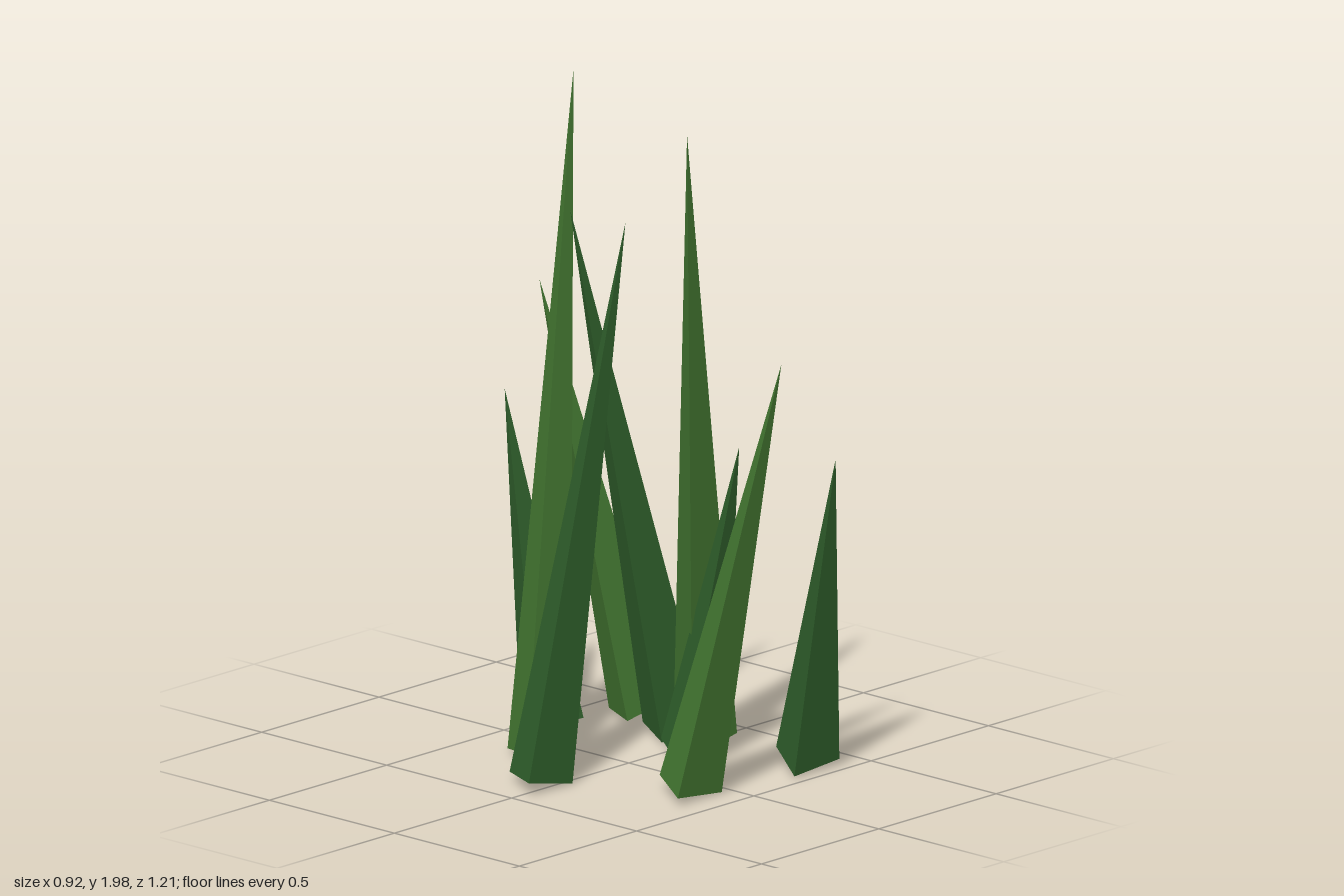
import * as THREE from 'three';

export function createModel() {
  const group = new THREE.Group();
  group.name = 'grassTuft';
  const deepGreen = new THREE.MeshStandardMaterial({ color: 0x2f5f2b, flatShading: true });
  deepGreen.name = 'deepGreen';
  const freshGreen = new THREE.MeshStandardMaterial({ color: 0x437731, flatShading: true });
  freshGreen.name = 'freshGreen';

  const up = new THREE.Vector3(0, 1, 0);
  const rootY = 0.03;

  // Three-sided blade from a root (x, z) to its tip, base tilted with the lean
  function addBlade(rootX, rootZ, tipX, tipY, tipZ, material) {
    const root = new THREE.Vector3(rootX, rootY, rootZ);
    const axis = new THREE.Vector3(tipX, tipY, tipZ).sub(root);
    const length = axis.length();
    const geometry = new THREE.ConeGeometry(0.11, length, 3, 1, false, Math.PI);
    geometry.translate(0, length / 2, 0);
    const blade = new THREE.Mesh(geometry, material);
    blade.name = `blade${group.children.length + 1}`;
    blade.position.copy(root);
    blade.quaternion.setFromUnitVectors(up, axis.normalize());
    group.add(blade);
  }

  // Short blades
  addBlade(0.08, -0.40, 0.115, 1.0, -0.605, deepGreen);
  addBlade(0.14, 0.105, 0.14, 1.0, 0.31, deepGreen);
  addBlade(0.31, 0.407, 0.24, 1.0, 0.602, deepGreen);
  // Medium blades
  addBlade(0.365, -0.315, 0.178, 1.335, -0.525, freshGreen);
  addBlade(-0.135, 0.357, 0.014, 1.335, 0.597, freshGreen);
  // Tall blades
  addBlade(0.298, -0.115, -0.034, 1.655, -0.203, deepGreen);
  addBlade(-0.365, -0.025, -0.02, 1.655, 0.005, deepGreen);
  // Tallest blades
  addBlade(-0.16, -0.225, 0.207, 1.988, -0.416, freshGreen);
  addBlade(0.27, 0.035, -0.061, 1.988, 0.29, freshGreen);

  return group;
}
